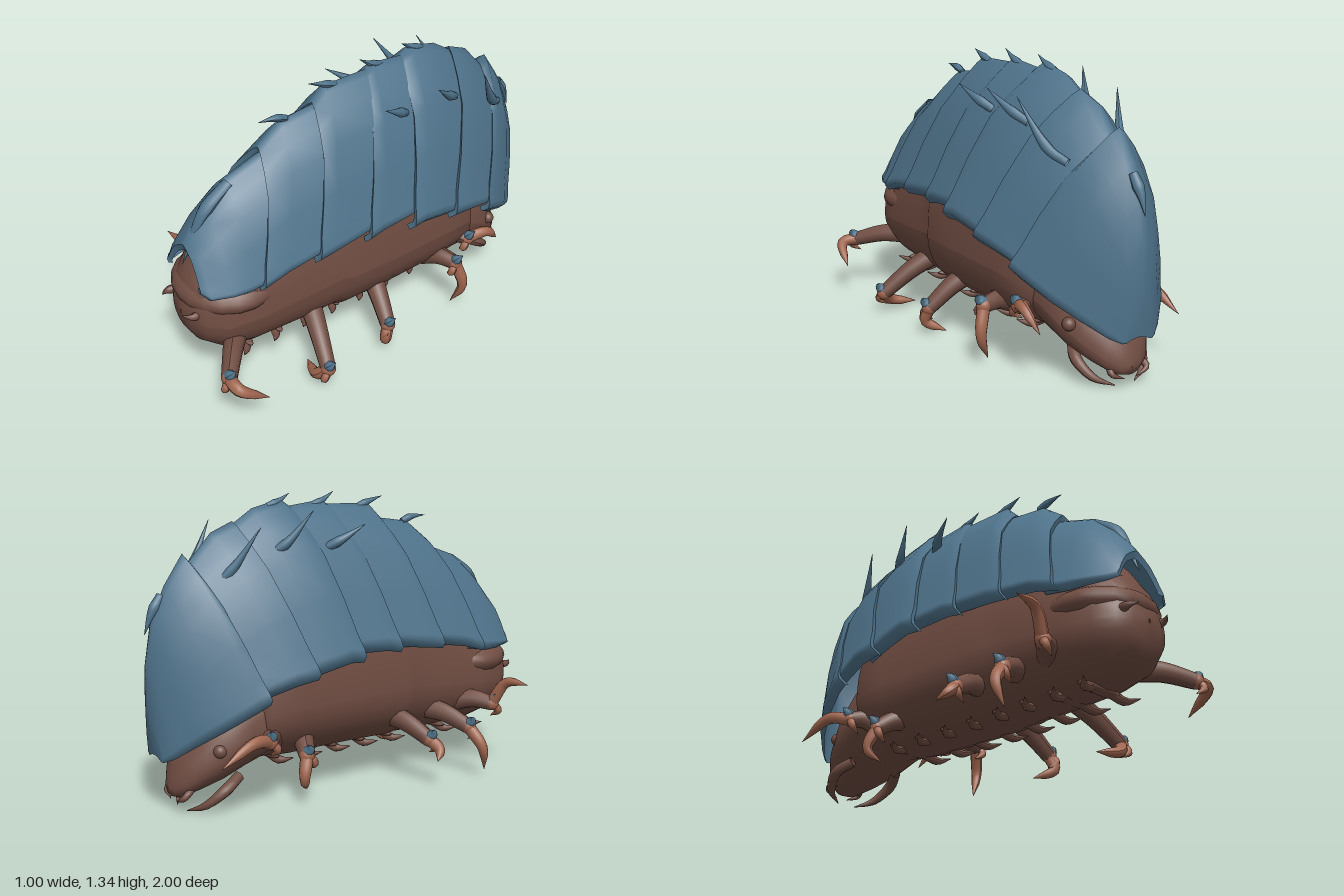
import * as THREE from 'three';

const mat = (name, color, side = THREE.FrontSide) => {
  const m = new THREE.MeshStandardMaterial({ color, side });
  m.name = name;
  return m;
};
const V = (x, y, z) => new THREE.Vector3(x, y, z);

// The back bends slightly sideways along its length
const bend = z => 0.02 + (z > 0 ? 0.025 : 0.085) * z;

// Skin joining rows of points
function loft(rows) {
  const n = rows[0].length, pos = [], idx = [];
  rows.forEach(r => r.forEach(p => pos.push(p.x, p.y, p.z)));
  for (let j = 0; j < rows.length - 1; j++)
    for (let i = 0; i < n - 1; i++) {
      const a = j * n + i, b = a + 1, c = a + n, d = c + 1;
      idx.push(a, b, c, b, d, c);
    }
  const g = new THREE.BufferGeometry();
  g.setAttribute('position', new THREE.Float32BufferAttribute(pos, 3));
  g.setIndex(idx);
  g.computeVertexNormals();
  return g;
}

// Tube whose radius follows a list of values
function taper(points, radii, seg = 12, sides = 10) {
  const curve = new THREE.CatmullRomCurve3(points.map(p => V(...p)));
  const g = new THREE.TubeGeometry(curve, seg, 1, sides);
  const p = g.attributes.position, v = V();
  for (let i = 0; i <= seg; i++) {
    const c = curve.getPointAt(i / seg), t = (i / seg) * (radii.length - 1);
    const k = Math.min(Math.floor(t), radii.length - 2);
    const r = THREE.MathUtils.lerp(radii[k], radii[k + 1], t - k);
    for (let j = 0; j <= sides; j++) {
      const q = i * (sides + 1) + j;
      v.fromBufferAttribute(p, q).sub(c).multiplyScalar(r).add(c);
      p.setXYZ(q, v.x, v.y, v.z);
    }
  }
  g.computeVertexNormals();
  return g;
}

// Rounded body from sections [z, half width, bottom, widest height, top]
function trunk(sections, shift = 0) {
  const N = 28;
  return loft(sections.map(([z, w, yb, ym, yt]) =>
    Array.from({ length: N + 1 }, (_, i) => {
      const a = (i / N) * Math.PI * 2, s = Math.sin(a);
      return V(bend(z) + shift + w * Math.cos(a), ym + s * (s > 0 ? yt - ym : ym - yb), z);
    })));
}

// Half arch of a shell plate, ridge to inward-turned hem: [width, height]
const ARCH = [[0, 1], [0.1, 0.965], [0.3, 0.86], [0.53, 0.71], [0.76, 0.43], [0.9, 0.2], [0.985, 0.1], [1, 0.05], [0.9, 0]];

// Shell plate from slanted rings [ridge z, ridge y, hem z, hem y, half width]
function plate(rings) {
  const row = ([zt, yt, zb, yb, w]) => {
    const half = s => ARCH.map(([f, g]) => {
      const z = THREE.MathUtils.lerp(zb, zt, g);
      return V(bend(z) + s * f * w, THREE.MathUtils.lerp(yb, yt, g), z);
    });
    return [...half(1).reverse(), ...half(-1).slice(1)];
  };
  const [zt, yt, zb, yb, w] = rings[0];
  const lip = [zt - 0.01, yt - 0.035, zb - 0.01, yb + 0.01, w - 0.03];
  // front row is doubled so the lip stays crisp
  return loft([row(lip), row(rings[0]), ...rings.map(row)]);
}

export function createModel() {
  const shell = mat('blue shell', 0x4f738b, THREE.DoubleSide);
  const flesh = mat('brown body', 0x704d42, THREE.DoubleSide);
  const claw = mat('light brown claw', 0xa0664f, THREE.DoubleSide);
  const root = new THREE.Group();
  const add = (name, geo, m, parent = root) => {
    const mesh = new THREE.Mesh(geo, m);
    mesh.name = name;
    parent.add(mesh);
    return mesh;
  };
  const ball = (name, m, [x, y, z], [sx, sy, sz], parent = root) => {
    const b = add(name, new THREE.SphereGeometry(1, 20, 14), m, parent);
    b.position.set(x, y, z);
    b.scale.set(sx, sy, sz);
    return b;
  };

  // Soft body with a stepped middle, front hood and low rear head
  add('body', trunk([
    [0.965, 0.005, 0.41, 0.42, 0.43], [0.955, 0.09, 0.33, 0.42, 0.5], [0.92, 0.16, 0.27, 0.41, 0.6],
    [0.84, 0.215, 0.21, 0.4, 0.72], [0.7, 0.245, 0.18, 0.41, 0.78], [0.4, 0.262, 0.17, 0.43, 0.93],
    [0.27, 0.265, 0.17, 0.44, 0.98], [0.22, 0.288, 0.165, 0.44, 1.0],
    [0, 0.29, 0.165, 0.44, 1.02], [-0.35, 0.29, 0.165, 0.43, 1.0], [-0.52, 0.275, 0.18, 0.41, 0.9],
    [-0.56, 0.2, 0.22, 0.4, 0.8]]), flesh);
  ball('hood', flesh, [0.035, 0.505, 0.725], [0.255, 0.105, 0.245]);
  add('head', trunk([
    [-0.48, 0.23, 0.19, 0.35, 0.7], [-0.6, 0.235, 0.15, 0.33, 0.6], [-0.7, 0.215, 0.11, 0.27, 0.5],
    [-0.8, 0.165, 0.08, 0.2, 0.36], [-0.87, 0.105, 0.06, 0.14, 0.25], [-0.9, 0.05, 0.07, 0.11, 0.16],
    [-0.91, 0.002, 0.1, 0.105, 0.11]], -0.015), flesh);
  for (const s of [-1, 1]) {
    add('frontSpur', taper([[0.03 + s * 0.1, 0.45, 0.9], [0.03 + s * 0.115, 0.45, 0.96],
      [0.03 + s * 0.09, 0.46, 1.0]], [0.025, 0.018, 0.001]), flesh);
    ball('eye', flesh, [-0.05 + s * 0.185, 0.28, -0.74], [0.03, 0.03, 0.03]);
    add('mandible', taper([[-0.08 + s * 0.13, 0.15, -0.64], [-0.08 + s * 0.165, 0.11, -0.72],
      [-0.08 + s * 0.13, 0.045, -0.8], [-0.08 + s * 0.05, 0.01, -0.85]], [0.025, 0.026, 0.018, 0.002]), flesh);
    add('jawTip', taper([[-0.08 + s * 0.06, 0.12, -0.82], [-0.08 + s * 0.09, 0.08, -0.88],
      [-0.08 + s * 0.03, 0.05, -0.89]], [0.02, 0.015, 0.001]), flesh);
  }

  // Belly ribs with bristles
  for (let i = 0; i < 8; i++) {
    const z = 0.7 - i * 0.16, c = bend(z);
    ball('bellyRib', flesh, [c, 0.19, z], [0.15, 0.02, 0.03]);
    for (const s of [-1, 1])
      add('bellyBristle', taper([[c + s * 0.06, 0.19, z], [c + s * 0.13, 0.17, z + 0.02],
        [c + s * 0.18, 0.185, z + 0.06]], [0.02, 0.02, 0.002], 8, 8), flesh);
  }

  // Overlapping shell plates, front to rear
  [
    [[0.925, 0.76, 0.937, 0.59, 0.15], [0.9, 0.8, 0.91, 0.565, 0.195], [0.82, 0.905, 0.82, 0.56, 0.232],
      [0.7, 1.01, 0.74, 0.56, 0.25], [0.5, 1.08, 0.62, 0.58, 0.258]],
    [[0.53, 1.1, 0.7, 0.565, 0.28], [0.41, 1.19, 0.58, 0.6, 0.285], [0.2, 1.22, 0.38, 0.63, 0.285]],
    [[0.245, 1.22, 0.43, 0.61, 0.31], [0.18, 1.285, 0.35, 0.62, 0.312], [-0.06, 1.29, 0.11, 0.65, 0.3]],
    [[-0.015, 1.265, 0.17, 0.62, 0.33], [-0.08, 1.31, 0.1, 0.635, 0.33], [-0.29, 1.285, -0.13, 0.64, 0.315]],
    [[-0.24, 1.275, -0.06, 0.605, 0.365], [-0.31, 1.32, -0.13, 0.61, 0.365],
      [-0.46, 1.285, -0.25, 0.585, 0.355], [-0.61, 1.19, -0.39, 0.55, 0.335]],
    [[-0.56, 1.235, -0.31, 0.56, 0.372], [-0.67, 1.19, -0.42, 0.545, 0.365], [-0.81, 1.04, -0.61, 0.49, 0.32]],
    [[-0.775, 1.07, -0.55, 0.48, 0.352], [-0.81, 1.11, -0.6, 0.455, 0.342], [-0.9, 0.98, -0.73, 0.385, 0.285],
      [-0.965, 0.84, -0.84, 0.32, 0.21], [-0.995, 0.67, -0.92, 0.26, 0.13], [-0.992, 0.45, -0.955, 0.24, 0.085],
      [-0.965, 0.26, -0.96, 0.24, 0.06]],
  ].forEach(p => add('shellPlate', plate(p), shell));

  // Spines: base, middle, tip
  const spine = (a, b, c, r) => add('spine', taper([a, b, c], [r * 0.8, r, r * 0.5, 0.001]), shell);
  [[0.38, 1.19, 0.52, 1.215], [0.12, 1.27, 0.26, 1.315], [-0.14, 1.285, -0.015, 1.345], [-0.38, 1.29, -0.26, 1.345]]
    .forEach(([z0, y0, z1, y1]) =>
      spine([bend(z0), y0, z0], [bend(z0) + 0.005, y0 + 0.02, z0 + 0.06], [bend(z1), y1, z1], 0.018));
  // side spines: base x, y, z, tip x, z, tip heights right and left
  [[0.15, 1.1, -0.16, 0.23, 0.01, 1.21, 1.2], [0.145, 1.09, -0.45, 0.245, -0.27, 1.28, 1.22],
    [0.13, 0.97, -0.73, 0.25, -0.53, 1.22, 1.22]]
    .forEach(([x0, y0, z0, x1, z1, yr, yl]) => {
      for (const s of [-1, 1])
        spine([s * x0 + 0.015, y0, z0], [s * (x0 + 0.045) + 0.015, y0 + 0.045, z0 + 0.07],
          [s * x1 + 0.015, s < 0 ? yr : yl, z1], 0.023);
    });
  spine([0.05, 0.99, 0.69], [0.055, 0.89, 0.82], [0.04, 0.66, 0.935], 0.033);
  spine([-0.05, 0.94, -0.91], [-0.055, 0.86, -0.96], [-0.055, 0.78, -0.992], 0.025);

  // Legs: [hip, ankle, claw bend, claw tip]
  [
    [[0.16, 0.3, 0.76], [0.38, 0.26, 0.93], [0.46, 0.25, 0.93], [0.49, 0.16, 0.8]],
    [[0.16, 0.31, 0.38], [0.44, 0.11, 0.46], [0.39, 0.06, 0.49], [0.27, 0.04, 0.46]],
    [[0.16, 0.31, 0.03], [0.38, 0.14, 0.08], [0.39, 0.07, 0.1], [0.31, 0.025, 0.04]],
    [[0.16, 0.26, -0.3], [0.33, 0.28, -0.36], [0.36, 0.15, -0.39], [0.31, 0.03, -0.36]],
    [[0.15, 0.29, -0.47], [0.24, 0.31, -0.51], [0.27, 0.33, -0.6], [0.25, 0.24, -0.7]],
    [[-0.14, 0.32, 0.58], [-0.3, 0.32, 0.69], [-0.37, 0.43, 0.72], [-0.5, 0.44, 0.74]],
    [[-0.14, 0.31, 0.4], [-0.35, 0.24, 0.51], [-0.42, 0.15, 0.54], [-0.4, 0.035, 0.57]],
    [[-0.14, 0.31, 0.18], [-0.38, 0.22, 0.26], [-0.43, 0.18, 0.28], [-0.47, 0.14, 0.24]],
    [[-0.16, 0.28, -0.3], [-0.3, 0.22, -0.35], [-0.33, 0.12, -0.38], [-0.28, 0.06, -0.34]],
    [[-0.2, 0.29, -0.47], [-0.31, 0.31, -0.54], [-0.36, 0.33, -0.64], [-0.39, 0.25, -0.81]],
  ].forEach(([hip, foot, bendAt, tip]) => {
    const leg = new THREE.Group();
    leg.name = 'leg';
    root.add(leg);
    const s = Math.sign(hip[0]);
    const mid = hip.map((h, i) => (h + foot[i]) / 2 + (i === 1 ? 0.015 : 0));
    add('upperLeg', taper([hip, mid, foot], [0.055, 0.045, 0.036]), flesh, leg);
    ball('ankle', claw, foot, [0.035, 0.035, 0.035], leg);
    add('claw', taper([foot, bendAt, tip], [0.03, 0.028, 0.02, 0.001]), claw, leg);
    // smaller second claw and blue spur
    const [x, y, z] = foot;
    add('sideClaw', taper([foot, [x + s * 0.015, y - 0.035, z + 0.03], [x - s * 0.03, y - 0.07, z + 0.02]],
      [0.022, 0.018, 0.001]), claw, leg);
    add('spur', taper([[x, y + 0.01, z], [x + s * 0.025, y + 0.035, z], [x + s * 0.04, y + 0.055, z - 0.015]],
      [0.03, 0.022, 0.001], 8, 8), shell, leg);
  });
  return root;
}
